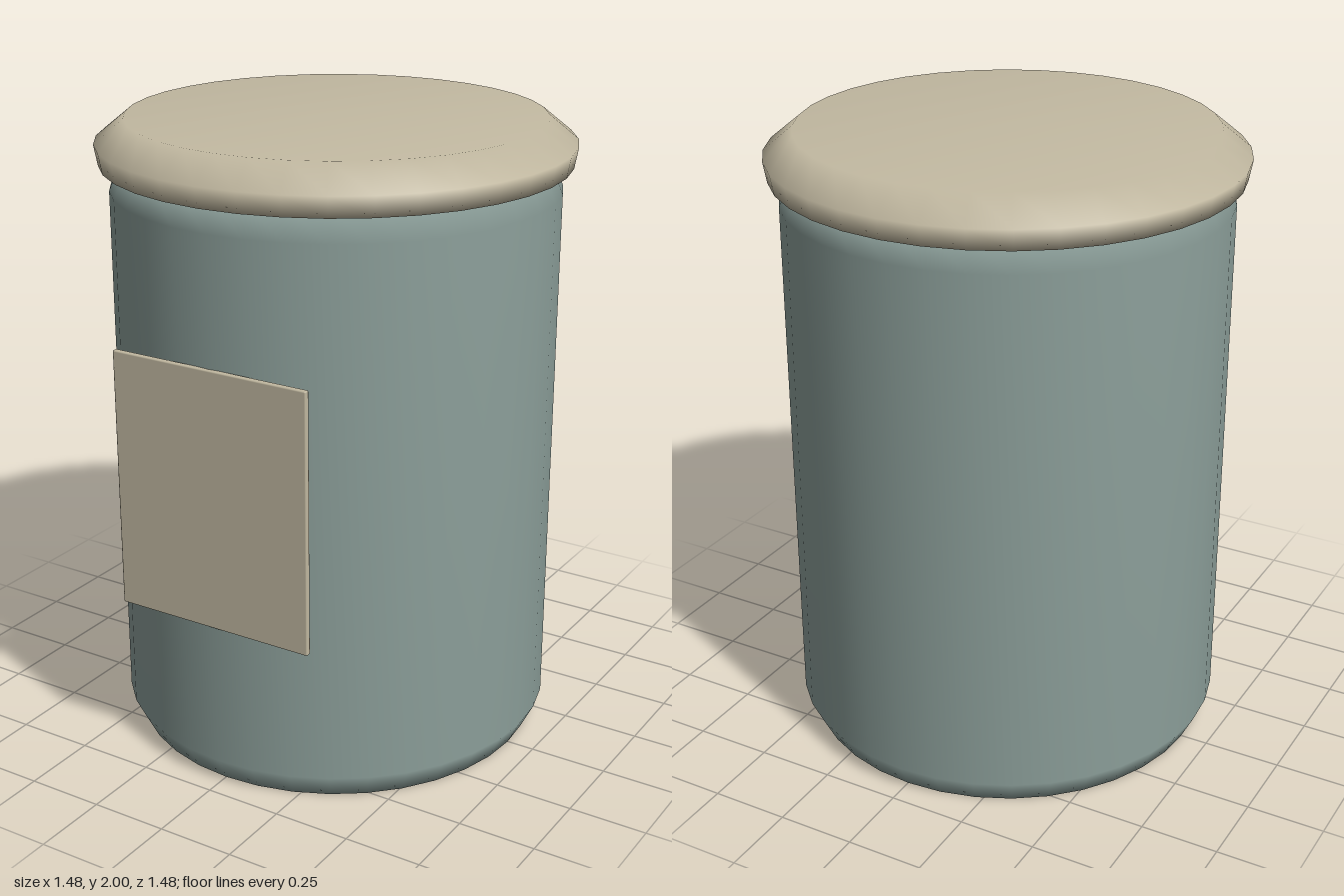
import * as THREE from 'three';
import { RoundedBoxGeometry } from 'three/addons/geometries/RoundedBoxGeometry.js';

const makeMaterial = (name, color) => {
  const material = new THREE.MeshStandardMaterial({ color });
  material.name = name;
  return material;
};

// Smooth turned solid; profile runs from the bottom axis up to the top axis.
function turned(name, profile, material) {
  const points = profile.map(([r, y]) => new THREE.Vector2(r, y));
  const mesh = new THREE.Mesh(new THREE.LatheGeometry(points, 36), material);
  mesh.name = name;
  return mesh;
}

export function createModel() {
  const glaze = makeMaterial('sage glaze', 0x8c9f9a);
  const cream = makeMaterial('warm cream', 0xc3baa2);

  const model = new THREE.Group();
  model.name = 'canister';

  // Jar body with bevelled foot and shoulder
  model.add(turned('body', [
    [0, 0], [0.66, 0], [0.7, 0.08], [0.7, 1.78], [0.665, 1.865], [0, 1.865],
  ], glaze));

  // Overhanging lid with a chamfered top edge
  model.add(turned('lid', [
    [0, 1.86], [0.73, 1.86], [0.742, 1.925], [0.65, 2], [0, 2],
  ], cream));

  // Flat plate on the front
  const label = new THREE.Mesh(new RoundedBoxGeometry(0.68, 0.83, 0.019, 1, 0.005), cream);
  label.name = 'label';
  label.position.set(0, 0.965, 0.7015);
  model.add(label);

  return model;
}
